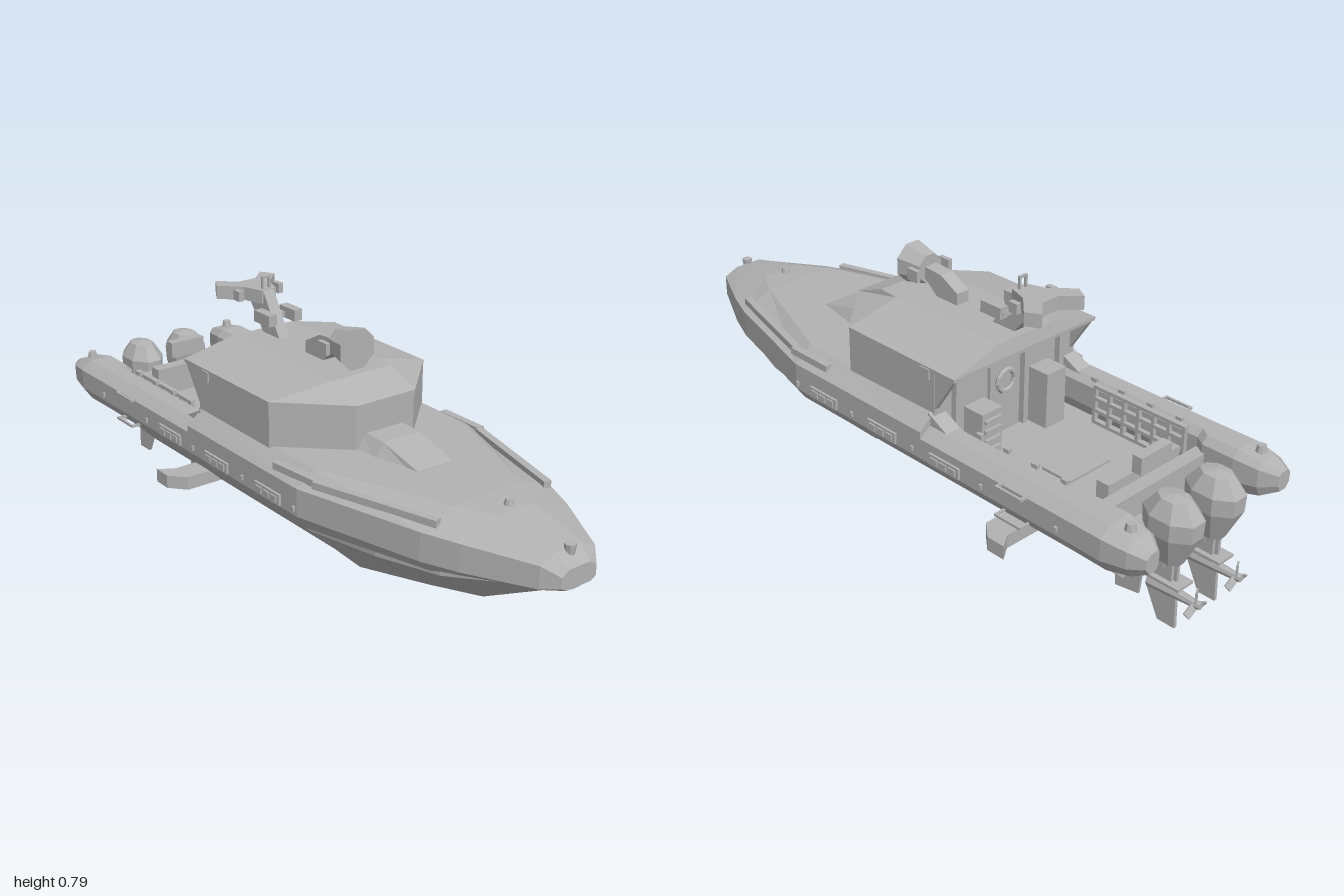
import * as THREE from 'three';

const grey = new THREE.MeshStandardMaterial({ color: 0xb2b2b2 });
grey.name = 'light grey';

export function createModel() {
  const model = new THREE.Group();
  model.name = 'patrolBoat';
  const boat = new THREE.Group();
  boat.name = 'boat';
  boat.position.x = -0.004;
  model.add(boat);

  // Faceted mesh
  function add(name, geo, x = 0, y = 0, z = 0, parent = boat) {
    const g = geo.index ? geo.toNonIndexed() : geo;
    g.computeVertexNormals();
    const m = new THREE.Mesh(g, grey);
    m.name = name;
    m.position.set(x, y, z);
    parent.add(m);
    return m;
  }
  const box = (name, w, h, d, x, y, z, parent) => add(name, new THREE.BoxGeometry(w, h, d), x, y, z, parent);

  // Skin over closed rings of [x, y, z], with both ends capped
  function loft(rings) {
    const p = [];
    const tri = (a, b, c) => p.push(...a, ...b, ...c);
    const n = rings[0].length;
    for (let k = 0; k < rings.length - 1; k++)
      for (let i = 0; i < n; i++) {
        const j = (i + 1) % n, r = rings[k], s = rings[k + 1];
        tri(r[i], r[j], s[j]);
        tri(r[i], s[j], s[i]);
      }
    [rings[0], rings[rings.length - 1]].forEach((r, e) => {
      const c = [0, 1, 2].map(a => r.reduce((t, v) => t + v[a], 0) / n);
      for (let i = 0; i < n; i++) {
        const j = (i + 1) % n;
        if (e) tri(c, r[i], r[j]); else tri(c, r[j], r[i]);
      }
    });
    const g = new THREE.BufferGeometry();
    g.setAttribute('position', new THREE.Float32BufferAttribute(p, 3));
    return g;
  }
  const mirrored = half => [...half, ...half.slice().reverse().map(([x, y, z]) => [-x, y, z])];
  // Station: z followed by half-breadth / height pairs, from the bottom up
  const station = ([z, ...v]) => {
    const half = [];
    for (let i = 0; i < v.length; i += 2) half.push([v[i], v[i + 1], z]);
    return mirrored(half);
  };
  // Plate drawn in the z-y plane, with thickness along x
  function sidePlate(name, pts, t, x, parent) {
    const s = new THREE.Shape(pts.map(q => new THREE.Vector2(q[0], q[1])));
    const g = new THREE.ExtrudeGeometry(s, { depth: t, bevelEnabled: false });
    g.translate(0, 0, -t / 2).rotateY(-Math.PI / 2);
    return add(name, g, x, 0, 0, parent);
  }
  // Plate drawn in the x-z plane, with thickness along y
  function flatPlate(name, pts, t, y) {
    const s = new THREE.Shape(pts.map(q => new THREE.Vector2(q[0], -q[1])));
    const g = new THREE.ExtrudeGeometry(s, { depth: t, bevelEnabled: false });
    g.translate(0, 0, -t / 2).rotateX(-Math.PI / 2);
    return add(name, g, 0, y, 0);
  }

  // Stepped V bottom
  add('lowerHull', loft([
    [-0.77, 0.11, 0.13, 0.24, 0.257, 0.24, 0.3],
    [0.2, 0.11, 0.13, 0.24, 0.257, 0.24, 0.3],
    [0.205, 0.065, 0.108, 0.24, 0.255, 0.24, 0.3],
    [0.25, 0.065, 0.083, 0.24, 0.25, 0.24, 0.3],
    [0.52, 0.045, 0.14, 0.232, 0.285, 0.232, 0.3],
    [0.71, 0.03, 0.185, 0.18, 0.295, 0.18, 0.31],
    [0.9, 0.02, 0.285, 0.08, 0.32, 0.08, 0.33],
    [0.97, 0.02, 0.325, 0.05, 0.337, 0.05, 0.345],
  ].map(station)));

  // Topsides and foredeck
  add('upperHull', loft([
    [-0.23, 0.29, 0.295, 0.318, 0.335, 0.318, 0.415, 0.27, 0.455],
    [0.3, 0.29, 0.295, 0.318, 0.335, 0.318, 0.415, 0.26, 0.457],
    [0.68, 0.19, 0.3, 0.222, 0.335, 0.222, 0.415, 0.12, 0.457],
    [0.78, 0.145, 0.31, 0.182, 0.335, 0.182, 0.412, 0.065, 0.452],
    [0.96, 0.06, 0.325, 0.092, 0.338, 0.092, 0.4, 0.045, 0.42],
    [1.0, 0.04, 0.335, 0.058, 0.345, 0.058, 0.375, 0.035, 0.39],
  ].map(station)));

  // Forward hatch
  add('foreHatch', loft([
    [0.26, 0.11, 0.44, 0.062, 0.497], [0.34, 0.1, 0.44, 0.062, 0.493], [0.48, 0.065, 0.44, 0.06, 0.458],
  ].map(station)));

  // Cabin walls and roof, stacked by height
  const cabinRing = (y, wf, zf, ws, zs, zb) =>
    [[wf, y, zf], [ws, y, zs], [ws, y, zb], [-ws, y, zb], [-ws, y, zs], [-wf, y, zf]];
  add('cabin', loft([cabinRing(0.3, 0.1, 0.27, 0.27, 0.11, -0.235), cabinRing(0.585, 0.1, 0.27, 0.27, 0.11, -0.235)]));
  add('cabinRoof', loft([cabinRing(0.575, 0.1, 0.275, 0.271, 0.11, -0.31),
    cabinRing(0.585, 0.1, 0.275, 0.271, 0.11, -0.31), cabinRing(0.625, 0.1, 0.17, 0.105, 0.1, -0.3)]));

  // Cabin rear: door, lifebuoy and lockers
  box('cabinDoor', 0.11, 0.24, 0.012, 0.02, 0.43, -0.24);
  box('tallLocker', 0.075, 0.17, 0.07, -0.12, 0.385, -0.275);
  box('shortLocker', 0.075, 0.14, 0.07, 0.13, 0.37, -0.275);
  add('lifebuoy', new THREE.TorusGeometry(0.032, 0.008, 6, 12), 0.02, 0.47, -0.252);
  for (let i = 0; i < 4; i++) box('lockerSlat', 0.06, 0.012, 0.01, 0.13, 0.325 + i * 0.03, -0.314);
  for (const x of [-0.2, -0.06, 0.2]) box('rearPillar', 0.018, 0.27, 0.02, x, 0.44, -0.243);

  // Cockpit ends: transom, bench and stern box
  box('transom', 0.42, 0.08, 0.04, 0, 0.335, -0.75);
  box('sternBench', 0.28, 0.05, 0.04, 0, 0.38, -0.71);
  box('sternBox', 0.12, 0.05, 0.03, 0, 0.44, -0.75);
  box('floorHatch', 0.16, 0.01, 0.1, 0, 0.303, -0.5);

  const tubeHalf = [[0.215, 0.335], [0.235, 0.295], [0.29, 0.295], [0.318, 0.335], [0.318, 0.395], [0.285, 0.42], [0.235, 0.42], [0.215, 0.4]];
  for (const s of [-1, 1]) {
    // Side tube with faceted tail
    const ring = (z, k, inner = 0) => {
      const r = tubeHalf.map(([x, y]) => [s * (0.258 + (x - (x < 0.25 ? inner : 0) - 0.258) * k), 0.362 + (y - 0.362) * k, z]);
      return s > 0 ? r : r.reverse();
    };
    add('sideTube', loft([ring(-0.975, 0.45), ring(-0.93, 0.8, 0.02), ring(-0.86, 1.02, 0.02),
      ring(-0.76, 1, 0.02), ring(-0.73, 1), ring(-0.22, 1)]));
    add('sternCleat', new THREE.CylinderGeometry(0.012, 0.016, 0.02, 8), s * 0.258, 0.425, -0.9);

    // Wings closing the cabin overhang
    sidePlate('overhangWing', [[-0.23, 0.46], [-0.23, 0.58], [-0.308, 0.58]], 0.016, s * 0.261);
    sidePlate('coamingWedge', [[-0.22, 0.41], [-0.22, 0.456], [-0.3, 0.415]], 0.05, s * 0.255);
    box('cabinVent', 0.006, 0.03, 0.035, s * 0.272, 0.565, -0.2);

    // Raised gunwale strips beside the foredeck
    const a = new THREE.Vector3(s * 0.295, 0.437, 0.18), m = new THREE.Vector3(s * 0.287, 0.437, 0.34), b = new THREE.Vector3(s * 0.185, 0.435, 0.7);
    for (const [p, q] of [[a, m], [m, b]]) {
      const mid = p.clone().add(q).multiplyScalar(0.5);
      box('gunwaleStrip', 0.022, 0.02, p.distanceTo(q), mid.x, mid.y, mid.z).lookAt(q);
    }

    // Recessed-looking side vents with slats
    for (const z of [0.172, -0.078, -0.325]) {
      box('sideVent', 0.01, 0.032, 0.115, s * 0.32, 0.356, z);
      for (let i = -1; i <= 1; i++) box('ventSlat', 0.01, 0.018, 0.026, s * 0.324, 0.356, z + i * 0.034);
    }
    for (const z of [0.29, 0.05, -0.2, -0.46, -0.72]) box('sideStud', 0.01, 0.014, 0.008, s * 0.32, 0.356, z);

    // Boarding rails
    for (const y of [0.397, 0.314]) {
      box('boardingRail', 0.007, 0.007, 0.09, s * 0.3335 + 0.004, y, -0.575);
      for (const z of [-0.533, -0.617]) box('railPost', 0.035, 0.007, 0.007, s * 0.3195 + 0.004, y, z);
    }

    // Spray rail and stabiliser fin
    box('sprayRail', 0.04, 0.01, 0.38, s * 0.25, 0.285, 0.01);
    const fin = [[0.1, -0.39], [0.228, -0.39], [0.272, -0.44], [0.272, -0.5], [0.228, -0.47], [0.1, -0.47]];
    flatPlate('stabiliserFin', fin.map(([x, z]) => [s * x, z]), 0.042, 0.147);
    for (let i = 0; i < 4; i++) box('wellCleat', 0.012, 0.012, 0.02, s * 0.225, 0.424, -0.36 - i * 0.1);
  }

  // Storage grid on one cockpit wall
  for (let i = 0; i < 7; i++) box('rackUpright', 0.016, 0.12, 0.01, -0.21, 0.36, -0.38 - i * 0.052);
  for (let i = 0; i < 4; i++) box('rackShelf', 0.016, 0.01, 0.32, -0.21, 0.305 + i * 0.037, -0.536);

  // Deck fittings on the bow
  add('bowBollard', new THREE.CylinderGeometry(0.016, 0.012, 0.03, 8), 0, 0.42, 0.965);
  add('deckBollard', new THREE.CylinderGeometry(0.01, 0.014, 0.016, 8), 0, 0.463, 0.755);
  box('bowPlate', 0.03, 0.034, 0.008, -0.008, 0.35, 1.0 - 0.004);

  // Searchlight on the roof
  const light = new THREE.CylinderGeometry(0.062, 0.045, 0.075, 8);
  add('searchlight', light.rotateY(Math.PI / 8).rotateX(Math.PI / 2), -0.004, 0.688, 0.115);
  sidePlate('searchlightMount', [[-0.055, 0.62], [0.02, 0.62], [0.075, 0.665], [0.075, 0.7], [0.01, 0.695], [-0.055, 0.66]], 0.044, -0.004);
  for (const s of [-1, 1]) box('searchlightBracket', 0.014, 0.035, 0.04, s * 0.06 - 0.004, 0.685, 0.08);

  // Radar mast
  sidePlate('mastPylon', [[-0.19, 0.62], [-0.27, 0.62], [-0.35, 0.72], [-0.35, 0.75], [-0.27, 0.75]], 0.036, -0.002);
  flatPlate('mastWing', [[0.025, -0.27], [0.045, -0.33], [0.104, -0.39], [0.08, -0.432], [0.03, -0.385],
    [-0.03, -0.385], [-0.08, -0.432], [-0.104, -0.39], [-0.045, -0.33], [-0.025, -0.27]], 0.04, 0.732);
  for (const s of [-1, 1]) {
    box('mastCamera', 0.028, 0.034, 0.075, s * 0.045, 0.685, -0.225);
    box('mastLamp', 0.016, 0.03, 0.03, s * 0.07, 0.732, -0.325);
    box('aerialPost', 0.006, 0.04, 0.008, s * 0.0115, 0.768, -0.285);
  }
  box('mastArm', 0.1, 0.014, 0.03, 0, 0.68, -0.25);
  box('aerialTop', 0.029, 0.006, 0.008, 0, 0.786, -0.285);

  // Rudder under the stern
  sidePlate('rudder', [[-0.66, 0.135], [-0.755, 0.135], [-0.745, 0.015], [-0.665, 0.002]], 0.008, 0.004);

  // Twin outboard engines
  const cowlProfile = [[0, 0.235], [0.028, 0.245], [0.06, 0.335], [0.062, 0.385], [0.035, 0.43], [0, 0.438]]
    .map(([r, y]) => new THREE.Vector2(r, y));
  for (const s of [-1, 1]) {
    const engine = new THREE.Group();
    engine.name = 'outboardEngine';
    engine.position.x = s * 0.083 + 0.004;
    boat.add(engine);
    const cowl = new THREE.LatheGeometry(cowlProfile, 8);
    cowl.rotateY(Math.PI / 8).scale(1, 1, 1.38);
    add('engineCowl', cowl, 0, 0, -0.895, engine);
    box('engineBracket', 0.06, 0.1, 0.05, 0, 0.255, -0.79, engine);
    box('engineClamp', 0.035, 0.03, 0.1, 0, 0.235, -0.84, engine);
    sidePlate('engineLeg', [[-0.845, 0.26], [-0.925, 0.26], [-0.925, 0.17], [-0.93, 0.05], [-0.875, 0.05], [-0.83, 0.14]], 0.01, 0, engine);
    box('legHousing', 0.03, 0.09, 0.06, 0, 0.215, -0.885, engine);
    box('cavitationPlate', 0.06, 0.008, 0.13, 0, 0.188, -0.885, engine);
    const hub = new THREE.CylinderGeometry(0.01, 0.02, 0.16, 8).rotateX(-Math.PI / 2);
    add('gearCase', hub, 0, 0.155, -0.92, engine);
    for (let i = 0; i < 3; i++) {
      const blade = new THREE.BoxGeometry(0.022, 0.034, 0.005).rotateY(0.5).translate(0, 0.024, 0);
      add('propellerBlade', blade.rotateZ(i * Math.PI * 2 / 3), 0, 0.155, -0.985, engine);
    }
  }
  return model;
}
